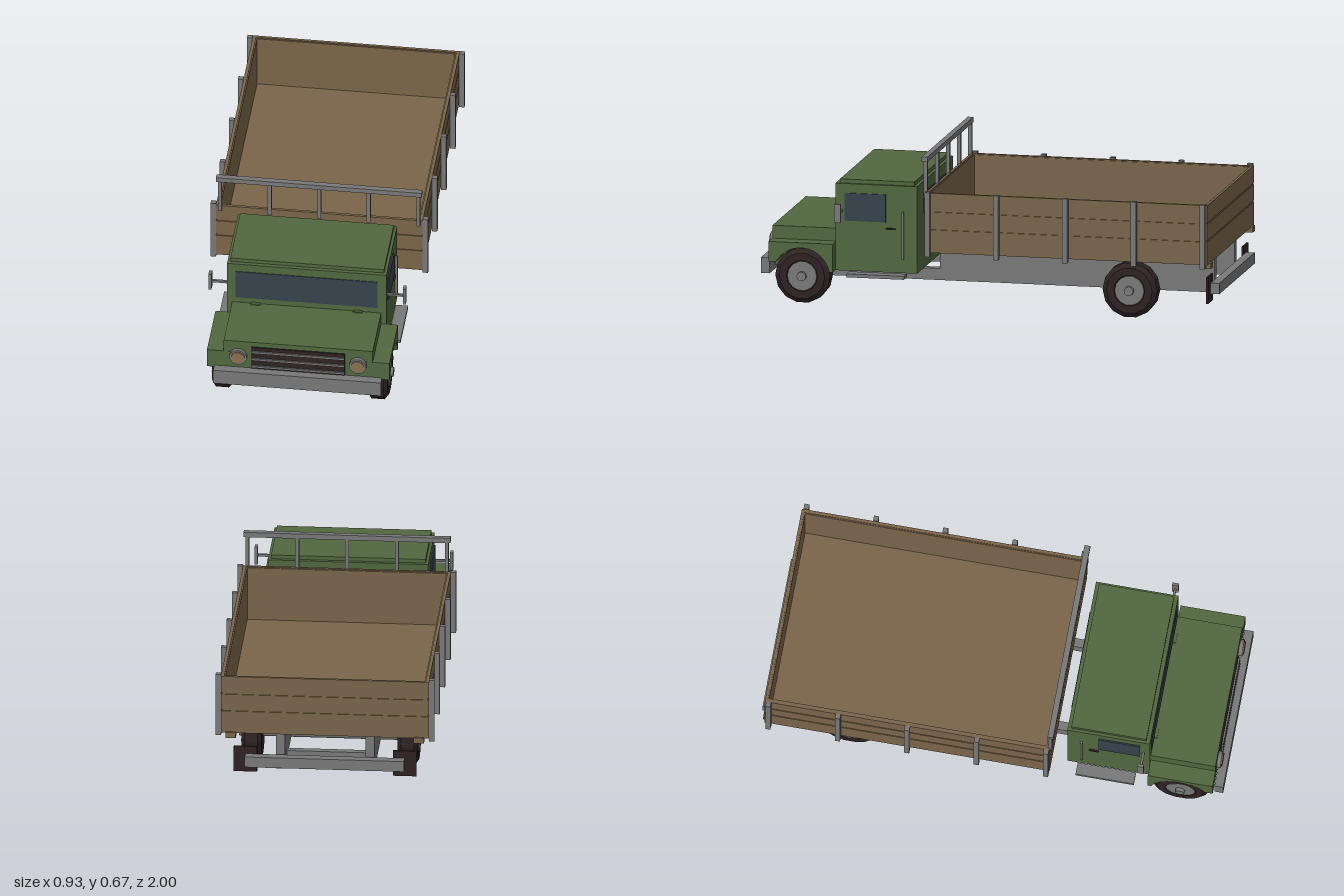
import * as THREE from 'three';

const mat = (name, color) => {
  const m = new THREE.MeshStandardMaterial({ color });
  m.name = name;
  return m;
};

export function createModel() {
  const truck = new THREE.Group();
  truck.name = 'truck';
  const green = mat('green paint', 0x51683f);
  const wood = mat('wood', 0x7a654a);
  const gray = mat('gray metal', 0x787878);
  const dark = mat('dark rubber', 0x2e2223);
  const glass = mat('glass', 0x36424d);
  const lamp = mat('lamp', 0x8a7050);

  const add = (name, geo, m, parent = truck) => {
    const mesh = new THREE.Mesh(geo, m);
    mesh.name = name;
    parent.add(mesh);
    return mesh;
  };
  // box given by its limits on each axis
  const box = (name, m, x0, x1, y0, y1, z0, z1) => {
    const mesh = add(name, new THREE.BoxGeometry(x1 - x0, y1 - y0, z1 - z0), m);
    mesh.position.set((x0 + x1) / 2, (y0 + y1) / 2, (z0 + z1) / 2);
    return mesh;
  };
  // the same box on both sides
  const pair = (name, m, x0, x1, ...rest) => {
    box(name + 'Left', m, x0, x1, ...rest);
    box(name + 'Right', m, -x1, -x0, ...rest);
  };
  const flat = (geo) => {
    const g = geo.toNonIndexed();
    g.computeVertexNormals();
    return g;
  };

  // chassis
  pair('chassisRail', gray, 0.172, 0.21, 0.1, 0.15, -0.955, 0.96);
  pair('bedRail', gray, 0.172, 0.21, 0.15, 0.27, -0.95, 0.25);
  box('rearCrossmember', gray, -0.172, 0.172, 0.105, 0.14, -0.85, -0.82);
  box('frontBumper', gray, -0.36, 0.36, 0.127, 0.195, 0.96, 0.998);
  box('rearBumper', gray, -0.34, 0.34, 0.12, 0.167, -1, -0.962);
  pair('rearLampPlate', dark, 0.29, 0.39, 0.085, 0.2, -0.962, -0.953);

  // cab
  box('cab', green, -0.342, 0.342, 0.15, 0.528, 0.32, 0.677);
  box('roof', green, -0.33, 0.33, 0.528, 0.545, 0.335, 0.66);
  box('windshield', glass, -0.305, 0.305, 0.355, 0.49, 0.677, 0.68);
  box('rearWindow', glass, -0.22, 0.22, 0.39, 0.48, 0.315, 0.32);
  pair('sideWindow', glass, 0.342, 0.348, 0.368, 0.488, 0.456, 0.635);
  pair('doorHandle', dark, 0.342, 0.35, 0.337, 0.343, 0.415, 0.455);
  pair('grabRail', gray, 0.342, 0.352, 0.21, 0.415, 0.376, 0.386);
  pair('step', gray, 0.342, 0.395, 0.132, 0.147, 0.365, 0.617);
  pair('mirrorArm', gray, 0.342, 0.412, 0.406, 0.416, 0.645, 0.655);
  pair('mirror', gray, 0.411, 0.424, 0.373, 0.453, 0.636, 0.664);
  pair('wiperMount', green, 0.2, 0.24, 0.328, 0.334, 0.677, 0.69);

  // hood and engine bay
  box('engineBay', green, -0.28, 0.28, 0.15, 0.27, 0.677, 0.955);
  box('hood', green, -0.32, 0.32, 0.25, 0.328, 0.677, 0.957);

  // fenders with wheel arches
  const arch = new THREE.Shape();
  arch.moveTo(0.677, 0.15);
  arch.lineTo(0.677, 0.272);
  arch.lineTo(0.958, 0.272);
  arch.lineTo(0.958, 0.185);
  arch.absarc(0.815, 0.125, 0.125, 0.5, Math.PI - 0.2, false);
  const fenderGeo = new THREE.ExtrudeGeometry(arch, { depth: 0.12, bevelEnabled: false, curveSegments: 8 });
  fenderGeo.rotateY(-Math.PI / 2);
  add('fenderLeft', fenderGeo, green).position.x = 0.392;
  add('fenderRight', fenderGeo, green).position.x = -0.272;

  // grille and headlights
  box('grille', dark, -0.2, 0.2, 0.185, 0.305, 0.955, 0.963);
  for (const y of [0.283, 0.246, 0.208]) box('grilleBar', gray, -0.2, 0.2, y - 0.005, y + 0.005, 0.963, 0.97);
  const ringGeo = new THREE.CylinderGeometry(0.037, 0.037, 0.02, 14).rotateX(Math.PI / 2);
  const lensGeo = new THREE.CylinderGeometry(0.029, 0.029, 0.008, 14).rotateX(Math.PI / 2);
  for (const s of [-1, 1]) {
    add('headlightRing', ringGeo, gray).position.set(s * 0.257, 0.254, 0.964);
    add('headlightLens', lensGeo, lamp).position.set(s * 0.257, 0.254, 0.975);
  }

  // wheels and axles
  const tireProfile = [[0, -0.043], [0.1, -0.043], [0.12, -0.028], [0.12, 0.028], [0.1, 0.043], [0.068, 0.043], [0.062, 0.03], [0, 0.03]]
    .map(([r, h]) => new THREE.Vector2(r, h));
  const tireGeo = flat(new THREE.LatheGeometry(tireProfile, 14)).rotateZ(-Math.PI / 2);
  const disc = (r, h) => new THREE.CylinderGeometry(r, r, h, 14).rotateZ(-Math.PI / 2);
  const hubGeo = disc(0.064, 0.012);
  const capGeo = disc(0.02, 0.02);
  for (const z of [0.815, -0.615]) {
    for (const s of [-1, 1]) {
      const wheel = new THREE.Group();
      wheel.name = 'wheel';
      add('tire', tireGeo, dark, wheel);
      add('hub', hubGeo, gray, wheel).position.x = 0.036;
      add('hubCap', capGeo, gray, wheel).position.x = 0.048;
      wheel.position.set(s * 0.334, 0.125, z);
      if (s < 0) wheel.rotation.y = Math.PI;
      truck.add(wheel);
    }
    add('axle', disc(0.015, 0.6), gray).position.set(0, 0.122, z);
  }

  // cargo bed: floor, inner walls and planks with narrow joints
  const back = -0.972, front = 0.262;
  box('bedFloor', wood, -0.435, 0.435, 0.265, 0.282, back + 0.01, front - 0.01);
  pair('sideWall', wood, 0.425, 0.438, 0.27, 0.52, back + 0.004, front - 0.004);
  box('headboard', wood, -0.438, 0.438, 0.27, 0.52, front - 0.017, front - 0.004);
  box('tailgate', wood, -0.438, 0.438, 0.27, 0.52, back + 0.004, back + 0.017);
  for (const [y0, y1] of [[0.265, 0.365], [0.372, 0.442], [0.449, 0.524]]) {
    pair('sidePlank', wood, 0.43, 0.444, y0, y1, back + 0.005, front - 0.005);
    box('headboardPlank', wood, -0.444, 0.444, y0, y1, front - 0.012, front);
    box('tailgatePlank', wood, -0.444, 0.444, y0, y1, back, back + 0.012);
  }
  pair('tailgateHinge', wood, 0.38, 0.424, 0.245, 0.27, -0.982, -0.95);

  // side stakes
  for (const z of [0.248, -0.052, -0.353, -0.653, -0.954]) {
    pair('stake', gray, 0.444, 0.467, 0.25, 0.53, z - 0.011, z + 0.011);
  }

  // rack above the headboard
  box('rackBar', gray, -0.442, 0.442, 0.658, 0.68, 0.252, 0.277);
  for (const x of [-0.426, -0.213, 0, 0.213, 0.426]) {
    box('rackPost', gray, x - 0.008, x + 0.008, 0.5, 0.66, 0.254, 0.27);
  }

  return truck;
}
